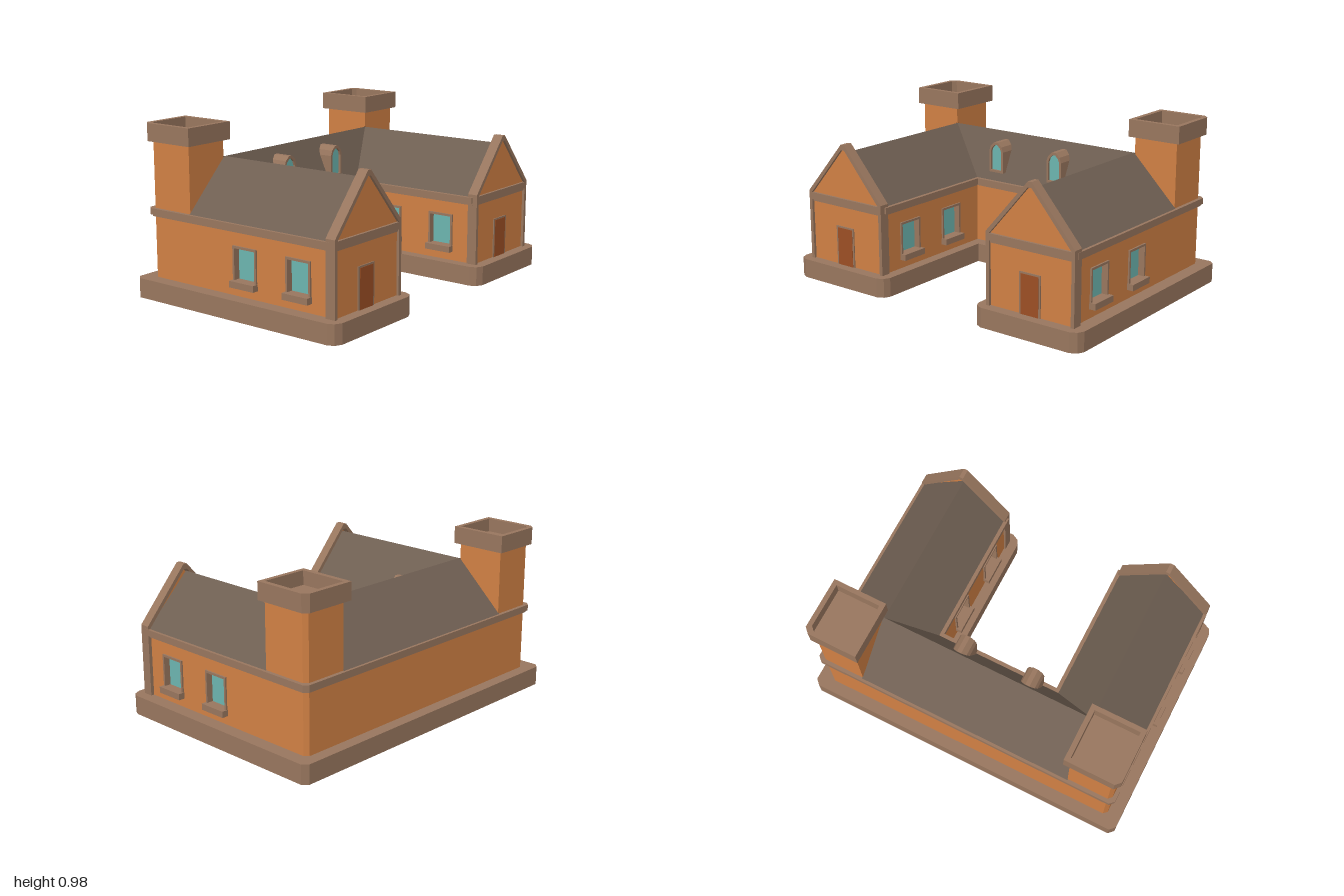
import * as THREE from 'three';

const mat = (name, color) => {
  const m = new THREE.MeshStandardMaterial({ color, side: THREE.DoubleSide, flatShading: true });
  m.name = name;
  return m;
};

export function createModel() {
  const stone = mat('brown stone', 0x98765e);
  const plaster = mat('orange plaster', 0xd08044);
  const slate = mat('grey brown slate', 0x6f5f52);
  const glass = mat('teal glass', 0x6cb4af);
  const wood = mat('red brown wood', 0x9c4f24);
  const model = new THREE.Group();
  model.name = 'house';

  const add = (parent, name, geo, material, x = 0, y = 0, z = 0) => {
    const mesh = new THREE.Mesh(geo, material);
    mesh.name = name;
    mesh.position.set(x, y, z);
    parent.add(mesh);
    return mesh;
  };
  const box = (parent, name, w, h, d, material, x, y, z) =>
    add(parent, name, new THREE.BoxGeometry(w, h, d), material, x, y, z);
  const shapeOf = (pts, ...holes) => {
    const s = new THREE.Shape(pts.map(p => new THREE.Vector2(...p)));
    holes.forEach(h => s.holes.push(new THREE.Path(h.map(p => new THREE.Vector2(...p)))));
    return s;
  };
  const rect = (x0, y0, x1, y1) => [[x0, y0], [x1, y0], [x1, y1], [x0, y1]];
  const extrude = (shape, depth) => new THREE.ExtrudeGeometry(shape, { depth, bevelEnabled: false });

  // Plan outlines are [x, z] lists laid flat
  const flip = pts => pts.map(([x, z]) => [x, -z]);
  const slab = (outer, inner, h) => {
    const s = inner ? shapeOf(flip(outer), flip(inner)) : shapeOf(flip(outer));
    return (h ? extrude(s, h) : new THREE.ShapeGeometry(s)).rotateX(-Math.PI / 2);
  };
  const quads = list => {
    const pos = [];
    list.forEach(([a, b, c, d]) => pos.push(...a, ...b, ...c, ...a, ...c, ...d));
    const g = new THREE.BufferGeometry();
    g.setAttribute('position', new THREE.Float32BufferAttribute(pos, 3));
    g.computeVertexNormals();
    return g;
  };
  const strip = (pts, y0, y1) => quads(pts.map(([x, z], i) => {
    const [u, w] = pts[(i + 1) % pts.length];
    return [[x, y0, z], [x, y1, z], [u, y1, w], [u, y0, w]];
  }));
  // U-shaped plan with clipped back corners and optional rounded front corners
  const plan = (ox, ix, zf, zc, zb, b, f = 0) => {
    const front = f
      ? [[ix, zf - f], [ix + f * 0.3, zf - f * 0.35], [ix + f, zf], [ox - f, zf], [ox - f * 0.3, zf - f * 0.35], [ox, zf - f]]
      : [[ix, zf], [ox, zf]];
    const half = [[ix, zc], ...front, [ox, zb + b], [ox - b, zb]];
    return [...half, ...half.map(([x, z]) => [-x, z]).reverse()];
  };

  // Base: open-bottomed plinth with closed wing ends
  const basePlan = plan(1, 0.32, 0.71, -0.14, -0.71, 0.03, 0.055);
  const wallPlan = plan(0.92, 0.385, 0.64, -0.215, -0.64, 0.022);
  add(model, 'baseSides', strip(basePlan, 0, 0.112), stone);
  add(model, 'baseTop', slab(basePlan, wallPlan), stone, 0, 0.112, 0);
  for (const s of [1, -1]) {
    const f = basePlan.slice(1, 7).map(([x, z]) => [s * x, z]);
    add(model, 'baseUnderside', slab([[s * 0.32, 0.25], ...f, [s, 0.25]]), stone, 0, 0.001, 0);
  }

  // Recessed window set into a wall that faces local +z
  const sideWindow = (parent, u) => {
    const g = new THREE.Group();
    g.name = 'sideWindow';
    g.position.x = u;
    parent.add(g);
    const ring = shapeOf(rect(-0.082, 0.18, 0.082, 0.387), rect(-0.07, 0.2, 0.07, 0.374));
    add(g, 'frame', extrude(ring, 0.042), stone, 0, 0, -0.032);
    add(g, 'pane', new THREE.PlaneGeometry(0.144, 0.178), glass, 0, 0.287, -0.028);
    box(g, 'sill', 0.17, 0.036, 0.04, stone, 0, 0.182, 0.018);
  };
  const wall = (name, outline, x, z, turn, windows = []) => {
    const g = new THREE.Group();
    g.name = name;
    g.position.set(x, 0, z);
    g.rotation.y = turn;
    model.add(g);
    const holes = windows.map(u => rect(u - 0.078, 0.185, u + 0.078, 0.38));
    add(g, name + 'Face', new THREE.ShapeGeometry(shapeOf(outline, ...holes)), plaster);
    windows.forEach(u => sideWindow(g, u));
  };

  // Back and courtyard walls
  const y0 = 0.11, y1 = 0.5;
  wall('backWall', rect(-0.898, y0, 0.898, y1), 0, -0.64, Math.PI);
  const court = new THREE.Group();
  court.name = 'courtyardWall';
  court.position.z = -0.215;
  model.add(court);
  add(court, 'courtyardFace', new THREE.ShapeGeometry(
    shapeOf(rect(-0.385, y0, 0.385, y1), rect(-0.113, 0.212, 0.113, 0.372))), plaster);
  add(court, 'wideFrame', extrude(shapeOf(rect(-0.117, 0.208, 0.117, 0.376),
    rect(-0.109, 0.216, 0.109, 0.368)), 0.024), stone, 0, 0, -0.02);
  add(court, 'widePane', new THREE.PlaneGeometry(0.222, 0.156), glass, 0, 0.292, -0.015);

  const gable = (w, bottom, eave, top) => [[-w, bottom], [w, bottom], [w, eave], [0.012, top], [-0.012, top], [-w, eave]];
  for (const s of [1, -1]) {
    // Wing side walls
    const q = s * Math.PI / 2;
    const along = (a, b, k) => rect(Math.min(a * k, b * k), y0, Math.max(a * k, b * k), y1);
    wall('outerWall', along(-0.618, 0.64, -s), s * 0.92, 0, q, [0.41, 0.045].map(z => -s * z));
    wall('innerWall', along(-0.215, 0.64, s), s * 0.385, 0, -q, [0.41, 0.045].map(z => s * z));
    add(model, 'cornerWall', quads([[[s * 0.92, y0, -0.618], [s * 0.92, y1, -0.618],
      [s * 0.898, y1, -0.64], [s * 0.898, y0, -0.64]]]), plaster);

    // Gabled front with stone edging
    const front = new THREE.Group();
    front.name = 'gableFront';
    front.position.x = s * 0.657;
    model.add(front);
    add(front, 'gableFace', new THREE.ShapeGeometry(shapeOf(gable(0.27, y0, 0.52, 0.815))), plaster, 0, 0, 0.645);
    add(front, 'gableEdging', extrude(shapeOf(gable(0.283, y0, 0.525, 0.835),
      gable(0.262, y0 + 0.002, 0.515, 0.803)), 0.06), stone, 0, 0, 0.6);
    box(front, 'gableBand', 0.53, 0.04, 0.03, stone, 0, 0.495, 0.645);
    box(front, 'gableBandLower', 0.53, 0.012, 0.015, stone, 0, 0.469, 0.645);

    // Door
    const dx = s > 0 ? -0.003 : -0.011;
    box(front, 'doorFrame', 0.135, 0.235, 0.008, stone, dx, 0.228, 0.647);
    box(front, 'door', 0.112, 0.225, 0.008, wood, dx, 0.223, 0.649);

    // Chimney with hollow cap
    const corner = (a, b, c, d, k) => [[a, c], [b, c], [b, d + k], [b - k, d], [a, d]].map(([x, z]) => [s * x, z]);
    add(model, 'chimneyStack', strip(corner(0.652, 0.92, -0.35, -0.64, 0.022), 0.5, 0.9), plaster);
    add(model, 'chimneyCap', slab(corner(0.622, 0.945, -0.325, -0.668, 0.03),
      corner(0.65, 0.917, -0.352, -0.64, 0.022), 0.1), stone, 0, 0.883, 0);
    add(model, 'chimneyFloor', slab(corner(0.64, 0.93, -0.34, -0.65, 0.022)), stone, 0, 0.905, 0);

    // Wing roof
    add(model, 'wingRoof', quads([
      [[s * 0.645, 0.79, -0.345], [s * 0.385, 0.505, -0.215], [s * 0.385, 0.505, 0.61], [s * 0.645, 0.79, 0.61]],
      [[s * 0.645, 0.79, 0.61], [s * 0.928, 0.505, 0.61], [s * 0.928, 0.505, -0.352], [s * 0.645, 0.79, -0.352]],
    ]), slate);
  }

  // Back range roof
  add(model, 'backRoof', quads([
    [[-0.645, 0.79, -0.345], [-0.385, 0.505, -0.215], [0.385, 0.505, -0.215], [0.645, 0.79, -0.345]],
    [[0.655, 0.79, -0.345], [0.655, 0.505, -0.65], [-0.655, 0.505, -0.65], [-0.655, 0.79, -0.345]],
  ]), slate);

  // Cornice around the eaves
  add(model, 'cornice', slab(plan(0.942, 0.363, 0.63, -0.193, -0.662, 0.025), wallPlan.map(([x, z]) =>
    [x, Math.min(z, 0.625)]), 0.035), stone, 0, 0.473, 0);
  add(model, 'corniceLower', slab(plan(0.932, 0.373, 0.63, -0.203, -0.652, 0.024), wallPlan.map(([x, z]) =>
    [x, Math.min(z, 0.625)]), 0.012), stone, 0, 0.462, 0);

  // Arched dormers
  const arch = (w, b, e, t) => [[-w, b], [w, b], [w, e], [w * 0.78, e + (t - e) * 0.55], [w * 0.25, t],
    [-w * 0.25, t], [-w * 0.78, e + (t - e) * 0.55], [-w, e]];
  for (const x of [-0.239, 0.186]) {
    const d = new THREE.Group();
    d.name = 'dormer';
    d.position.set(x, 0, 0);
    model.add(d);
    add(d, 'dormerHood', extrude(shapeOf(arch(0.052, 0.56, 0.69, 0.746), arch(0.039, 0.574, 0.685, 0.73)), 0.11),
      stone, 0, 0, -0.325);
    add(d, 'dormerPane', new THREE.ShapeGeometry(shapeOf(arch(0.041, 0.572, 0.686, 0.732))), glass, 0, 0, -0.228);
  }
  return model;
}
